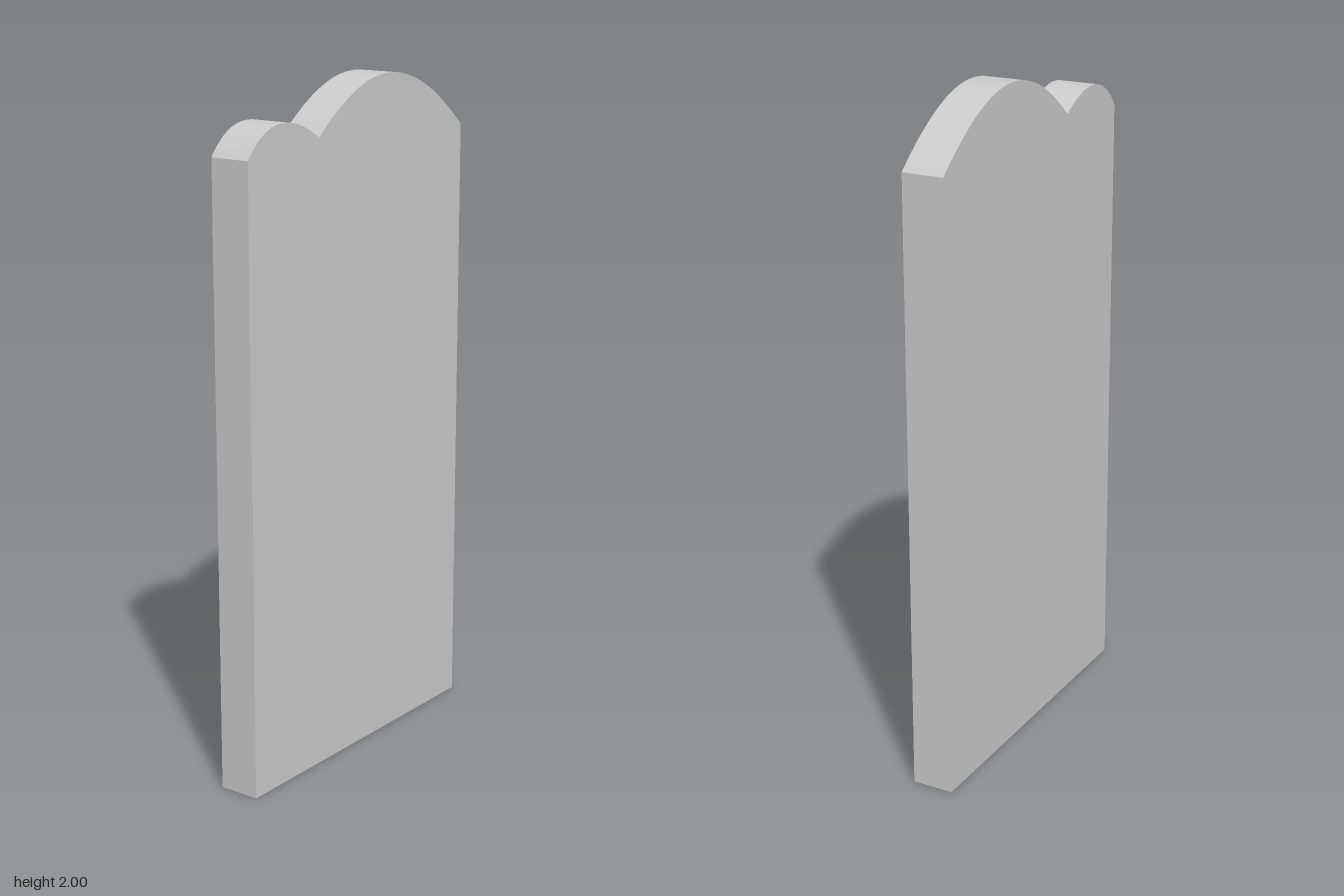
import * as THREE from 'three';
import { toCreasedNormals } from 'three/addons/utils/BufferGeometryUtils.js';

const DEPTH = 0.125;

export function createModel() {
  const group = new THREE.Group();
  group.name = 'slab';

  // Upright panel outline with one large and one small rounded lobe on top
  const outline = new THREE.Shape();
  outline.moveTo(-0.5, 0);
  outline.lineTo(0.5, 0);
  outline.lineTo(0.5, 1.82);
  outline.bezierCurveTo(0.22, 2.07, 0.025, 2.04, -0.195, 1.85);
  outline.bezierCurveTo(-0.29, 1.913, -0.41, 1.943, -0.5, 1.82);
  outline.closePath();

  const extruded = new THREE.ExtrudeGeometry(outline, {
    depth: DEPTH, bevelEnabled: false, curveSegments: 32,
  });
  extruded.translate(0, 0, -DEPTH / 2);

  // Smooth lobes, sharp rims and notch
  const panel = new THREE.Mesh(
    toCreasedNormals(extruded, Math.PI / 6),
    new THREE.MeshStandardMaterial({ color: 0xcccccc }),
  );
  panel.name = 'panel';
  group.add(panel);
  return group;
}
